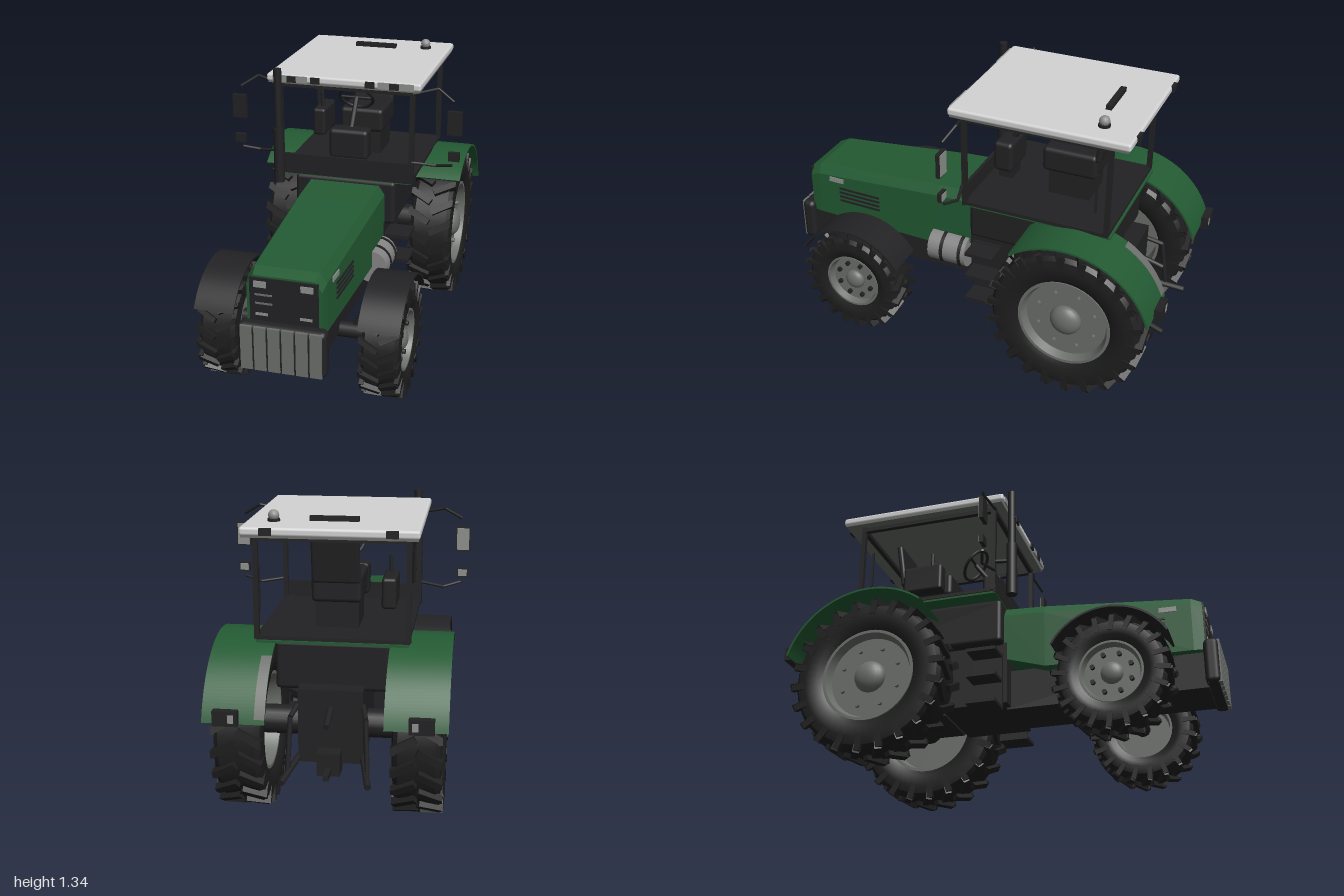
import * as THREE from 'three';
import { mergeGeometries, toCreasedNormals } from 'three/addons/utils/BufferGeometryUtils.js';
import { RoundedBoxGeometry } from 'three/addons/geometries/RoundedBoxGeometry.js';

const mat = (name, color, side = THREE.FrontSide) => {
  const m = new THREE.MeshStandardMaterial({ color, side });
  m.name = name;
  return m;
};
const green = mat('body green', 0x235a33, THREE.DoubleSide);
const black = mat('frame black', 0x222224);
const rubber = mat('tyre rubber', 0x1e1e1f);
const grey = mat('rim grey', 0x6c6f6b);
const silver = mat('tank silver', 0x858585);
const white = mat('roof white', 0xd4d4d4);
const lamp = mat('lamp grey', 0x8e918e);

const rad = THREE.MathUtils.degToRad;

function add(parent, name, geo, material, pos = [0, 0, 0], rot = [0, 0, 0]) {
  const m = new THREE.Mesh(geo, material);
  m.name = name;
  m.position.set(...pos);
  m.rotation.set(...rot);
  parent.add(m);
  return m;
}

// Box given by its extents on each axis; r rounds the edges
function box(parent, name, material, [x0, x1], [y0, y1], [z0, z1], r = 0) {
  const d = [Math.abs(x1 - x0), y1 - y0, z1 - z0];
  const geo = r ? new RoundedBoxGeometry(...d, 2, r) : new THREE.BoxGeometry(...d);
  return add(parent, name, geo, material, [(x0 + x1) / 2, (y0 + y1) / 2, (z0 + z1) / 2]);
}

// Round bars joining a list of points
function bars(parent, name, material, points, r, sides = 10) {
  const parts = points.slice(1).map((p, i) => {
    const a = new THREE.Vector3(...points[i]), b = new THREE.Vector3(...p);
    const dir = b.clone().sub(a);
    const g = new THREE.CylinderGeometry(r, r, dir.length(), sides);
    g.applyQuaternion(new THREE.Quaternion().setFromUnitVectors(new THREE.Vector3(0, 1, 0), dir.normalize()));
    return g.translate(...a.add(b).multiplyScalar(0.5).toArray());
  });
  return add(parent, name, mergeGeometries(parts), material);
}

// Curved band around the x axis; 0 degrees is forward, 90 is up
function arcBand(r0, r1, a0, a1, width) {
  const s = new THREE.Shape();
  s.absarc(0, 0, r1, rad(a0), rad(a1), false);
  s.absarc(0, 0, r0, rad(a1), rad(a0), true);
  const g = new THREE.ExtrudeGeometry(s, { depth: width, bevelEnabled: false, curveSegments: 28 });
  return toCreasedNormals(g.translate(0, 0, -width / 2).rotateY(-Math.PI / 2), 0.5);
}

// Skin over outlines [x, y] placed at rising z
function loft(sections) {
  const v = [], put = (...pts) => pts.forEach(p => v.push(...p));
  const rings = sections.map(([z, pts]) => pts.map(([x, y]) => [x, y, z]));
  const n = rings[0].length, first = rings[0], last = rings[rings.length - 1];
  for (let i = 0; i < rings.length - 1; i++) for (let j = 0; j < n; j++) {
    const k = (j + 1) % n, a = rings[i], b = rings[i + 1];
    put(a[j], a[k], b[k], a[j], b[k], b[j]);
  }
  for (let j = 1; j < n - 1; j++) put(last[0], last[j], last[j + 1], first[0], first[j + 1], first[j]);
  const g = new THREE.BufferGeometry();
  g.setAttribute('position', new THREE.Float32BufferAttribute(v, 3));
  g.computeVertexNormals();
  return g;
}

const lathe = (pts, seg = 48) => toCreasedNormals(
  new THREE.LatheGeometry(pts.map(p => new THREE.Vector2(...p)), seg).rotateZ(-Math.PI / 2), 0.5);

// Wheel with its outer face towards +x
function wheel(name, R, half, rim, hub, lugs, dir) {
  const g = new THREE.Group();
  g.name = name;
  const c = R - 0.022;
  const prof = [[rim, -half * 0.78], [rim + 0.03, -half * 0.95], [c - 0.05, -half], [c - 0.015, -half * 0.93], [c, -half * 0.75]];
  add(g, 'tyre', lathe([...prof, ...prof.map(([r, y]) => [r, -y]).reverse()]), rubber);
  // Chevron lugs, staggered between the two halves
  const parts = [];
  for (let i = 0; i < lugs; i++) for (const s of [-1, 1]) {
    const a = (i + (s > 0 ? 0.5 : 0)) / lugs * Math.PI * 2;
    const tread = new THREE.BoxGeometry(half * 1.05, 0.034, R * 0.085)
      .rotateY(s * dir * 0.5).translate(s * half * 0.5, R - 0.017, 0).rotateX(a);
    const shoulder = new THREE.BoxGeometry(0.02, 0.07, R * 0.085)
      .translate(s * (half - 0.008), R - 0.043, -dir * half * 0.27).rotateX(a);
    parts.push(tread, shoulder);
  }
  add(g, 'treadLugs', mergeGeometries(parts), rubber);
  add(g, 'rim', lathe([[0, -0.01], [rim * 0.88, -0.01], [rim * 0.95, -half * 0.8], [rim + 0.003, -half * 0.8],
    [rim + 0.003, half * 0.86], [rim * 0.95, half * 0.86], [rim * 0.88, half * 0.5], [0, half * 0.5]]), grey);
  add(g, 'hub', new THREE.SphereGeometry(hub, 20, 12).scale(0.6, 1, 1), grey, [half * 0.55, 0, 0]);
  for (let i = 0; i < 8; i++) {
    const a = (i + 0.5) * Math.PI / 4, r = rim * 0.66;
    add(g, 'wheelBolt', new THREE.CylinderGeometry(0.011, 0.011, 0.02, 8).rotateZ(Math.PI / 2),
      R < 0.3 ? black : grey, [half * 0.5 + 0.006, Math.sin(a) * r, Math.cos(a) * r]);
  }
  return g;
}

export function createModel() {
  const root = new THREE.Group();
  root.name = 'tractor';
  const B = (...a) => box(root, ...a);

  // Bonnet with a bevelled top that falls towards the nose
  const outline = (w, top, low) => [[-w, low], [w, low], [w, top - 0.045], [w - 0.03, top], [-w + 0.03, top], [-w, top - 0.045]];
  add(root, 'bonnet', loft([[0, outline(0.2, 0.768, 0.5)], [0.2, outline(0.196, 0.76, 0.44)],
    [0.88, outline(0.172, 0.71, 0.44)], [0.93, outline(0.165, 0.688, 0.44)]]), green);
  B('grille', black, [-0.15, 0.15], [0.46, 0.68], [0.926, 0.937]);
  for (const y of [0.56, 0.6]) B('grilleSlat', grey, [-0.125, -0.05], [y, y + 0.008], [0.934, 0.94]);
  for (const s of [-1, 1]) {
    B('headlight', lamp, [s * 0.075, s * 0.13], [0.638, 0.666], [0.934, 0.942]);
    B('lowerLamp', lamp, [s * 0.07, s * 0.125], [0.508, 0.52], [0.934, 0.94]);
    const side = new THREE.Group();
    side.name = 'bonnetSideDetails';
    side.position.set(s * 0.181, 0, 0.66);
    side.rotation.y = s * -0.035;
    root.add(side);
    box(side, 'sideLamp', lamp, [-0.004, 0.004], [0.64, 0.664], [0.075, 0.155]);
    for (let i = 0; i < 4; i++) box(side, 'sideVent', black, [-0.004, 0.004], [0.535 + i * 0.023, 0.545 + i * 0.023], [-0.13, 0.1]);
  }

  // Front ballast
  B('ballastFrame', black, [-0.195, 0.195], [0.27, 0.485], [0.92, 0.988], 0.025);
  for (let i = 0; i < 6; i++) {
    const x = -0.178 + i * 0.061;
    B('ballastSlab', grey, [x, x + 0.052], [0.275, 0.478], [0.93, 0.993]);
  }

  // Chassis, axles and drive
  B('engineFrame', black, [-0.135, 0.135], [0.27, 0.46], [0, 0.93]);
  B('gearbox', black, [-0.2, 0.2], [0.28, 0.58], [-0.3, 0.02]);
  B('rearHousing', black, [-0.14, 0.14], [0.27, 0.6], [-0.76, -0.3]);
  bars(root, 'frontAxle', black, [[-0.33, 0.275, 0.55], [0.33, 0.275, 0.55]], 0.036, 16);
  bars(root, 'rearAxle', black, [[-0.34, 0.385, -0.56], [0.34, 0.385, -0.56]], 0.065, 16);
  add(root, 'frontDifferential', new THREE.SphereGeometry(0.08, 16, 10), black, [0, 0.275, 0.55]);

  // Wheels, fenders, lights and steps
  for (const s of [-1, 1]) {
    const rear = wheel('rearWheel', 0.375, 0.106, 0.218, 0.075, 22, s);
    rear.position.set(s * 0.378, 0.38, -0.56);
    const front = wheel('frontWheel', 0.263, 0.088, 0.138, 0.05, 20, s);
    front.position.set(s * 0.37, 0.268, 0.555);
    for (const w of [rear, front]) {
      w.rotation.y = s > 0 ? 0 : Math.PI;
      root.add(w);
    }
    add(root, 'rearFender', arcBand(0.408, 0.417, 52, 163, 0.265), green, [s * 0.378, 0.385, -0.56]);
    add(root, 'frontFender', arcBand(0.288, 0.297, 30, 150, 0.185), black, [s * 0.372, 0.272, 0.553]);
    bars(root, 'fenderBracket', black, [[s * 0.2, 0.3, 0.55], [s * 0.26, 0.42, 0.55], [s * 0.3, 0.56, 0.55]], 0.012);
    B('tailLight', black, [s * 0.35, s * 0.455], [0.51, 0.575], [-0.998, -0.965]);
    B('tailLens', lamp, [s * 0.365, s * 0.39], [0.525, 0.56], [-1.0, -0.996]);
    B('stepPanel', black, [s * 0.2, s * 0.215], [0.25, 0.52], [-0.14, 0]);
    for (const y of [0.245, 0.375, 0.5]) B('stepTread', black, [s * 0.2, s * 0.32], [y, y + 0.016], [-0.14, 0]);
  }
  add(root, 'fenderPatch', arcBand(0.417, 0.419, 120, 160, 0.045), grey, [0.267, 0.385, -0.56]);

  // Fuel tank with straps
  bars(root, 'fuelTank', silver, [[0.19, 0.44, 0.03], [0.19, 0.44, 0.225]], 0.08, 24);
  for (const z of [0.05, 0.145]) bars(root, 'tankStrap', black, [[0.19, 0.44, z], [0.19, 0.44, z + 0.016]], 0.084, 24);

  // Cab base and frame
  B('cabTub', black, [-0.25, 0.25], [0.57, 0.79], [-0.68, 0.005], 0.02);
  B('cabFloor', black, [-0.33, 0.33], [0.795, 0.812], [-0.7, 0.0]);
  B('cabSill', green, [-0.325, 0.325], [0.785, 0.796], [-0.71, 0.0]);
  B('dashPanel', black, [-0.33, 0.33], [0.79, 0.89], [-0.012, 0.003]);
  for (const z of [-0.69, -0.01]) {
    for (const s of [-1, 1]) B('cabPillar', black, [s * 0.312, s * 0.335], [0.8, 1.26], [z - 0.011, z + 0.011]);
    B('cabCrossRail', black, [-0.335, 0.335], [1.225, 1.245], [z - 0.011, z + 0.011]);
  }
  for (const s of [-1, 1]) {
    B('cabSideRail', black, [s * 0.312, s * 0.335], [1.225, 1.245], [-0.7, 0]);
    B('doorHandle', black, [s * 0.318, s * 0.33], [0.91, 1.1], [-0.64, -0.63]);
  }

  // Roof with lamps, hatch handle and beacon
  B('roofLining', grey, [-0.365, 0.365], [1.252, 1.262], [-0.775, 0.04]);
  B('roof', white, [-0.372, 0.372], [1.26, 1.297], [-0.785, 0.05], 0.012);
  for (const s of [-1, 1]) {
    B('roofWorkLamp', lamp, [s * 0.17, s * 0.34], [1.262, 1.293], [0.046, 0.053]);
    for (const x of [0.11, 0.225]) B('roofFrontLamp', black, [s * x, s * (x + 0.045)], [1.262, 1.292], [0.046, 0.056]);
    B('roofRearLamp', black, [s * 0.235, s * 0.285], [1.265, 1.295], [-0.796, -0.78]);
  }
  B('hatchHandle', black, [-0.105, 0.105], [1.295, 1.317], [-0.612, -0.585]);
  bars(root, 'beaconBase', black, [[0.253, 1.295, -0.63], [0.253, 1.308, -0.63]], 0.027, 14);
  add(root, 'beacon', new THREE.SphereGeometry(0.024, 14, 8), lamp, [0.253, 1.322, -0.63]);

  // Seat and controls
  B('seatBase', black, [-0.095, 0.095], [0.81, 0.95], [-0.53, -0.33]);
  B('seatCushion', black, [-0.11, 0.11], [0.93, 1.05], [-0.56, -0.3], 0.02);
  add(root, 'seatBack', new RoundedBoxGeometry(0.21, 0.26, 0.03, 2, 0.012), black, [0, 1.15, -0.58], [-0.15, 0, 0]);
  B('sideConsole', black, [-0.255, -0.19], [0.89, 1.03], [-0.5, -0.3], 0.015);
  bars(root, 'gearLever', black, [[-0.22, 1.02, -0.36], [-0.22, 1.105, -0.36]], 0.009);
  B('steeringConsole', black, [-0.097, 0.097], [0.865, 1.015], [-0.145, -0.05], 0.02);
  B('consoleFoot', black, [-0.05, 0.05], [0.81, 0.88], [-0.13, -0.06]);
  bars(root, 'steeringColumn', black, [[0, 1.0, -0.11], [0, 1.135, -0.21]], 0.012);
  add(root, 'steeringWheel', new THREE.TorusGeometry(0.083, 0.008, 8, 28), black, [0, 1.135, -0.21], [0.7, 0, 0]);
  bars(root, 'steeringSpoke', black, [[-0.08, 1.135, -0.21], [0.08, 1.135, -0.21]], 0.007);

  // Exhaust stack
  bars(root, 'exhaustMuffler', black, [[-0.308, 0.77, 0.075], [-0.308, 1.04, 0.075]], 0.026, 16);
  bars(root, 'exhaustPipe', black, [[-0.308, 1.03, 0.075], [-0.308, 1.33, 0.075]], 0.019, 16);
  bars(root, 'exhaustBracket', black, [[-0.308, 0.95, 0.075], [-0.325, 0.95, 0]], 0.01);

  // Mirrors on bent arms
  for (const s of [-1, 1]) {
    bars(root, 'mirrorArm', black, [[s * 0.325, 1.235, 0], [s * 0.44, 1.262, -0.03], [s * 0.52, 1.212, 0]], 0.007);
    bars(root, 'lowerMirrorArm', black, [[s * 0.325, 0.9, 0], [s * 0.44, 0.886, -0.03], [s * 0.52, 0.905, 0]], 0.007);
    for (const [y0, y1, x0, x1] of [[1.055, 1.17, 0.493, 0.562], [0.928, 0.972, 0.502, 0.555]]) {
      B('mirror', black, [s * x0, s * x1], [y0, y1], [-0.005, 0.013]);
      B('mirrorGlass', lamp, [s * (x0 + 0.006), s * (x1 - 0.006)], [y0 + 0.006, y1 - 0.006], [-0.009, -0.004]);
    }
  }

  // Rear hitch
  for (const s of [-1, 1]) {
    bars(root, 'lowerLink', black, [[s * 0.13, 0.3, -0.7], [s * 0.182, 0.25, -0.95]], 0.014);
    bars(root, 'liftRod', black, [[s * 0.14, 0.53, -0.74], [s * 0.16, 0.5, -0.83], [s * 0.17, 0.27, -0.86]], 0.011);
  }
  B('hitchBlock', black, [-0.05, 0.05], [0.24, 0.34], [-0.835, -0.75]);
  B('drawbar', black, [-0.012, 0.012], [0.25, 0.275], [-0.91, -0.8]);
  bars(root, 'topLink', black, [[0, 0.52, -0.74], [0, 0.48, -0.88]], 0.013);
  return root;
}
